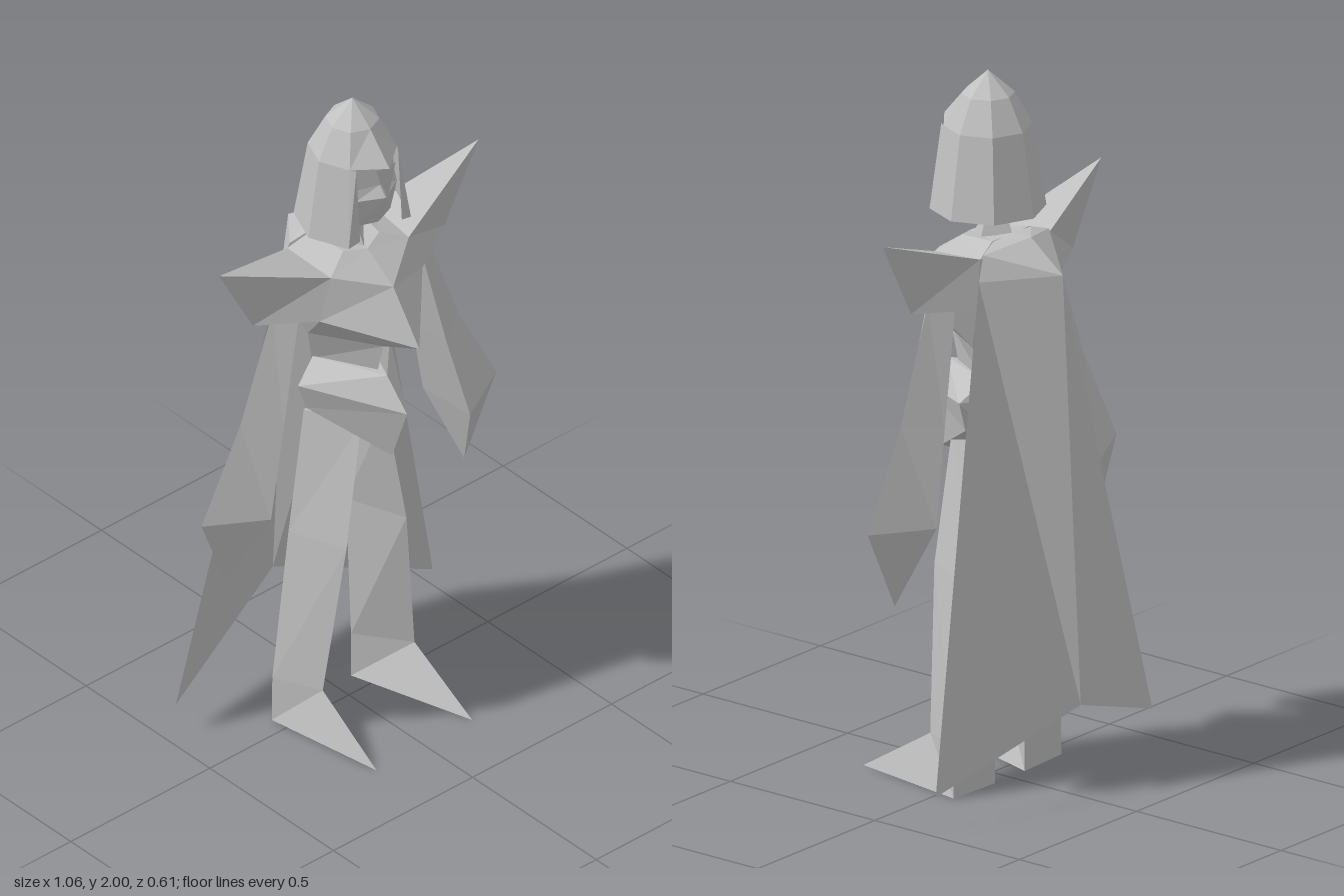
import * as THREE from 'three';

const grey = new THREE.MeshStandardMaterial({ color: 0xc0c0c0, side: THREE.DoubleSide });
grey.name = 'plain grey';

const flip = ([x, y, z]) => [-x, y, z];

// Faceted skin over rows of points. Closed rows become capped rings whose second
// half mirrors the first; mirrored builds the same part on the other side.
function skin(name, rows, { closed = true, mirrored = false } = {}) {
  const pos = [];
  const tri = (...corners) => {
    const t = mirrored ? corners.map(flip).reverse() : corners;
    const [A, B, C] = t.map((p) => new THREE.Vector3(...p));
    if (B.sub(A).cross(C.sub(A)).length() > 1e-7) pos.push(...t.flat());
  };
  const n = rows[0].length;
  for (let r = 0; r < rows.length - 1; r++) {
    const a = rows[r], b = rows[r + 1];
    for (let i = 0; i < (closed ? n : n - 1); i++) {
      const j = (i + 1) % n;
      if (i < n / 2 || !closed) {
        tri(a[i], b[i], b[j]);
        tri(a[i], b[j], a[j]);
      } else {
        tri(a[i], b[i], a[j]);
        tri(a[j], b[i], b[j]);
      }
    }
  }
  if (closed) {
    const top = rows[0], end = rows[rows.length - 1];
    for (let i = 1; i < n - 1; i++) {
      tri(top[0], top[i], top[i + 1]);
      tri(end[0], end[i + 1], end[i]);
    }
  }
  const geo = new THREE.BufferGeometry();
  geo.setAttribute('position', new THREE.Float32BufferAttribute(pos, 3));
  geo.computeVertexNormals();
  const mesh = new THREE.Mesh(geo, grey);
  mesh.name = name;
  return mesh;
}

// Front centre, left side points, back centre -> full symmetric ring
const fullRing = (half) => [...half, ...half.slice(1, -1).reverse().map(flip)];

export function createModel() {
  const model = new THREE.Group();
  model.name = 'capedFigure';
  const pair = (name, rows, closed = true) => model.add(
    skin('left' + name, rows, { closed }),
    skin('right' + name, rows, { closed, mirrored: true }),
  );

  // Helmet: eight-sided dome, open at the face
  const oct = (r, y, brow) => Array.from({ length: 8 }, (_, i) => {
    const a = (i * Math.PI) / 4;
    return [r * Math.sin(a), y, i === 0 && brow ? brow : 0.014 + r * Math.cos(a)];
  });
  const rim = oct(0.12, 1.845, 0.165), hem = oct(0.158, 1.61);
  model.add(skin('helmetDome', [oct(0, 2), oct(0.073, 1.935), rim]));
  pair('HelmetSide', [
    [[0.075, 1.845, 0.115], ...rim.slice(1, 5)],
    [[0.075, 1.62, 0.13], ...hem.slice(1, 5)],
  ], false);
  pair('NoseGuard', [
    [[0, 1.845, 0.165], [0.035, 1.845, 0.15]],
    [[0, 1.74, 0.157], [0, 1.74, 0.157]],
  ], false);

  // Face and neck
  model.add(skin('face', [
    [[0, 1.84, 0.115], [0.075, 1.84, 0.09], [0.075, 1.84, -0.06], [0, 1.84, -0.08]],
    [[0, 1.77, 0.125], [0.075, 1.77, 0.1], [0.075, 1.77, -0.07], [0, 1.77, -0.09]],
    [[0, 1.74, 0.15], [0.075, 1.74, 0.11], [0.075, 1.74, -0.07], [0, 1.74, -0.09]],
    [[0, 1.645, 0.12], [0.065, 1.645, 0.095], [0.065, 1.645, -0.06], [0, 1.645, -0.08]],
    [[0, 1.61, 0.05], [0.045, 1.61, 0.02], [0.045, 1.61, -0.05], [0, 1.61, -0.06]],
  ].map(fullRing)));
  model.add(skin('neck', [
    [[0, 1.62, 0.01], [0.028, 1.62, -0.01], [0, 1.62, -0.045]],
    [[0, 1.525, 0.065], [0.06, 1.545, -0.01], [0, 1.55, -0.07]],
  ].map(fullRing)));

  // Chest with its pointed keel, narrowing to a diamond-shaped waist
  const waistRing = (front, side, back) => [front, side, side, back];
  const armhole = [[0.14, 1.505, 0.085], [0.15, 1.52, -0.08], [0.175, 1.385, -0.09], [0.185, 1.385, 0.09]];
  model.add(skin('chest', [
    [[0, 1.53, 0.075], [0.065, 1.54, 0.05], [0.08, 1.55, -0.065], [0, 1.555, -0.08]],
    [[0, 1.46, 0.18], armhole[0], armhole[1], [0, 1.52, -0.1]],
    [[0, 1.31, 0.285], armhole[3], armhole[2], [0, 1.38, -0.1]],
    waistRing([0, 1.24, 0.14], [0.12, 1.25, -0.03], [0, 1.25, -0.1]),
    waistRing([0, 1.14, 0.115], [0.09, 1.14, -0.05], [0, 1.14, -0.09]),
  ].map(fullRing)));

  // Diamond-shaped hips
  model.add(skin('hips', [
    [[0, 1.15, 0.155], [0.09, 1.15, -0.045], [0, 1.15, -0.105]],
    [[0, 1.065, 0.235], [0.165, 1.1, -0.02], [0, 1.1, -0.115]],
    [[0, 0.895, 0.175], [0.138, 1.015, -0.02], [0, 0.895, -0.115]],
  ].map(fullRing)));

  // Pointed shoulder plates
  const tip = [0.467, 1.625, 0], under = [0.345, 1.4, 0];
  pair('Shoulder', [armhole, [tip, tip, under, under]]);

  // Three-sided arms flaring to the wrist and ending in a point
  const armRing = (outer, inner, y, yIn, w) =>
    [[outer, y, 0], [inner, yIn, -w], [inner + w * 0.15, yIn, w]];
  const armRows = (tipX, tipY) => [
    armRing(0.275, 0.21, 1.41, 1.41, 0.045),
    armRing(0.39, 0.283, 1.09, 1.07, 0.066),
    armRing(0.53, 0.345, 0.82, 0.808, 0.088),
    armRing(tipX, tipX, tipY, tipY, 0),
  ];
  model.add(
    skin('leftArm', armRows(0.415, 0.587)),
    skin('rightArm', armRows(0.445, 0.6), { mirrored: true }),
  );

  // Three-sided legs with a front ridge, running into pointed feet
  const legRing = (y, rx, rz, inX, outX) => [[rx, y, rz], [outX, y, -0.053], [inX, y, -0.062]];
  pair('Leg', [
    legRing(0.98, 0.045, 0.1, 0.02, 0.115),
    legRing(0.6, 0.108, 0.112, 0.045, 0.17),
    legRing(0.14, 0.165, 0.08, 0.063, 0.228),
    legRing(0, 0.172, 0.305, 0.063, 0.23),
  ]);

  // Cape: yoke behind the shoulders and two long panels, as mirrored halves
  pair('Cape', [
    [[0.08, 1.55, -0.07], [0, 1.555, -0.075]],
    [[0.14, 1.53, -0.083], [0, 1.555, -0.135]],
    [[0.165, 1.46, -0.088], [0, 1.47, -0.245]],
    [[0.462, 0.095, -0.18], [0, 0.26, -0.307]],
  ], false);

  return model;
}
